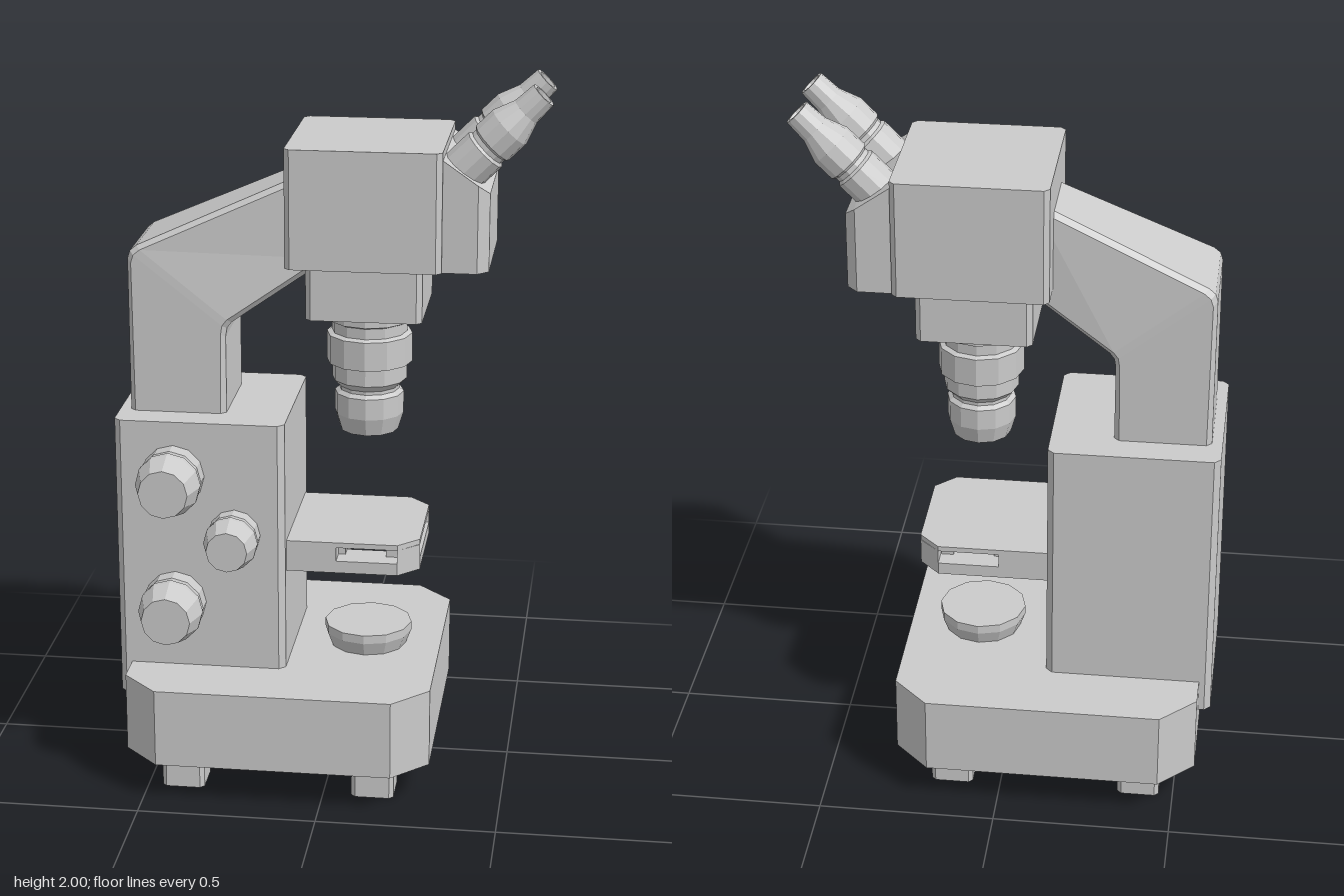
import * as THREE from 'three';

const material = new THREE.MeshStandardMaterial({ color: 0xcccccc, flatShading: true });

export function createModel() {
  const model = new THREE.Group();

  const add = (name, geometry, x = 0, y = 0, z = 0) => {
    const mesh = new THREE.Mesh(geometry, material);
    mesh.name = name;
    mesh.position.set(x, y, z);
    model.add(mesh);
    return mesh;
  };

  // Upright prism with chamfered vertical edges: cb at the -x corners, cf at the +x corners
  const prism = (x0, x1, y0, y1, w, cb, cf = cb, hole = null) => {
    const plan = [
      [x0 + cb, -w], [x1 - cf, -w], [x1, -w + cf], [x1, w - cf],
      [x1 - cf, w], [x0 + cb, w], [x0, w - cb], [x0, -w + cb],
    ].map(([x, z]) => new THREE.Vector2(x, z));
    const shape = new THREE.Shape(plan.filter((p, i) => i === 0 || p.distanceTo(plan[i - 1]) > 1e-6));
    if (hole) {
      const [a, b, h] = hole;
      shape.holes.push(new THREE.Path([[a, -h], [a, h], [b, h], [b, -h]].map(p => new THREE.Vector2(...p))));
    }
    const geometry = new THREE.ExtrudeGeometry(shape, { depth: y1 - y0, bevelEnabled: false });
    return geometry.rotateX(-Math.PI / 2).translate(0, y0, 0);
  };

  // Turned part from [radius, height] pairs, listed bottom to top
  const turned = (profile, sides = 12) =>
    new THREE.LatheGeometry(profile.map(p => new THREE.Vector2(...p)), sides);

  // Base and feet
  add('base', prism(-0.56, 0.3, 0.11, 0.335, 0.43, 0.1));
  for (const x of [-0.4, 0.14])
    for (const z of [-0.278, 0.278])
      add('foot', prism(-0.06, 0.06, 0, 0.12, 0.06, 0.012), x, 0, z);

  // Column
  add('column', prism(-0.595, -0.12, 0.24, 1.06, 0.235, 0.018));

  // Arm: chamfered cross-sections from the column up and forward into the head
  const sections = [
    { o: [-0.565, 1.04], i: [-0.295, 1.04], w: 0.145 },
    { o: [-0.565, 1.495], i: [-0.295, 1.28], w: 0.145 },
    { o: [-0.558, 1.517], i: [-0.291, 1.305], w: 0.145 },
    { o: [-0.54, 1.532], i: [-0.278, 1.322], w: 0.144 },
    { o: [-0.08, 1.738], i: [-0.03, 1.49], w: 0.105 },
  ];
  const verts = [], faces = [], c = 0.015;
  sections.forEach(({ o, i, w }, s) => {
    const u = c / Math.hypot(i[0] - o[0], i[1] - o[1]);
    const loop = [[0, w - c], [u, w], [1 - u, w], [1, w - c], [1, c - w], [1 - u, -w], [u, -w], [0, c - w]];
    loop.forEach(([t, z], j) => {
      verts.push(o[0] + (i[0] - o[0]) * t, o[1] + (i[1] - o[1]) * t, z);
      if (s === 0) return;
      const a = (s - 1) * 8 + j, b = (s - 1) * 8 + (j + 1) % 8;
      faces.push(a, b, b + 8, a, b + 8, a + 8);
    });
  });
  const arm = new THREE.BufferGeometry();
  arm.setAttribute('position', new THREE.Float32BufferAttribute(verts, 3));
  arm.setIndex(faces);
  arm.computeVertexNormals();
  add('arm', arm);

  // Head, with a sloped front block
  add('head', prism(-0.12, 0.305, 1.5, 1.83, 0.215, 0.015));
  const front = prism(0.28, 0.43, 1.5, 1.83, 0.195, 0, 0.03);
  const pos = front.attributes.position;
  for (let k = 0; k < pos.count; k++)
    if (pos.getY(k) > 1.6) pos.setY(k, 1.825 - Math.max(0, pos.getX(k) - 0.305) * 0.88);
  front.computeVertexNormals();
  add('headFront', front);
  add('nosepiece', prism(-0.07, 0.25, 1.345, 1.51, 0.165, 0.015));

  // Objective lens
  add('objective', turned([
    [0, 1.0], [0.06, 1.0], [0.065, 0.99], [0.082, 0.99], [0.097, 1.04], [0.097, 1.1], [0.085, 1.11],
    [0.085, 1.12], [0.105, 1.14], [0.105, 1.19], [0.12, 1.19], [0.12, 1.272], [0.106, 1.278],
    [0.106, 1.308], [0.12, 1.314], [0.12, 1.35],
  ]), 0.09);

  // Paired eyepieces, tilted forward
  const eyepiece = turned([
    [0.064, -0.36], [0.064, -0.215], [0.056, -0.208], [0.056, -0.195], [0.064, -0.188], [0.064, -0.125],
    [0.042, -0.065], [0.038, 0], [0.028, 0], [0.026, -0.02], [0, -0.02],
  ]);
  for (const z of [-0.103, 0.103])
    add('eyepiece', eyepiece, 0.562, 1.972, z).rotation.z = -Math.PI / 4;

  // Stage: slotted frame with a window in its lower plate
  add('stageLowerPlate', prism(-0.13, 0.25, 0.62, 0.655, 0.195, 0, 0.058, [0.04, 0.155, 0.1]));
  add('stageUpperPlate', prism(-0.13, 0.25, 0.695, 0.71, 0.195, 0, 0.058));
  add('stageBack', prism(-0.13, 0.02, 0.65, 0.7, 0.195, 0));
  add('stageInnerBack', prism(0.01, 0.04, 0.65, 0.7, 0.14, 0));
  add('stageInnerFront', prism(0.155, 0.19, 0.65, 0.7, 0.145, 0));
  const post = new THREE.Shape([[0.192, 0.14], [0.25, 0.14], [0.192, 0.195]].map(p => new THREE.Vector2(...p)));
  for (const side of [-1, 1]) {
    const shape = new THREE.Shape(post.getPoints().map(p => new THREE.Vector2(p.x, p.y * side)));
    const geometry = new THREE.ExtrudeGeometry(shape, { depth: 0.04, bevelEnabled: false });
    add('stagePost', geometry.rotateX(-Math.PI / 2).translate(0, 0.655, 0));
  }

  // Lamp on the base
  add('lamp', turned([[0.108, 0.33], [0.125, 0.375], [0.125, 0.4], [0, 0.4]]), 0.09);

  // Focus knobs on the side of the column
  for (const [x, y, r, length] of [[-0.43, 0.905, 0.09, 0.165], [-0.43, 0.53, 0.09, 0.165], [-0.26, 0.737, 0.075, 0.145]]) {
    const knob = turned([
      [r * 0.97, -0.02], [r * 0.97, length * 0.33], [r * 0.86, length * 0.36], [r * 0.86, length * 0.43],
      [r, length * 0.46], [r, length * 0.57], [r * 0.76, length], [0, length],
    ]);
    add('focusKnob', knob.rotateX(Math.PI / 2), x, y, 0.23);
  }

  return model;
}
